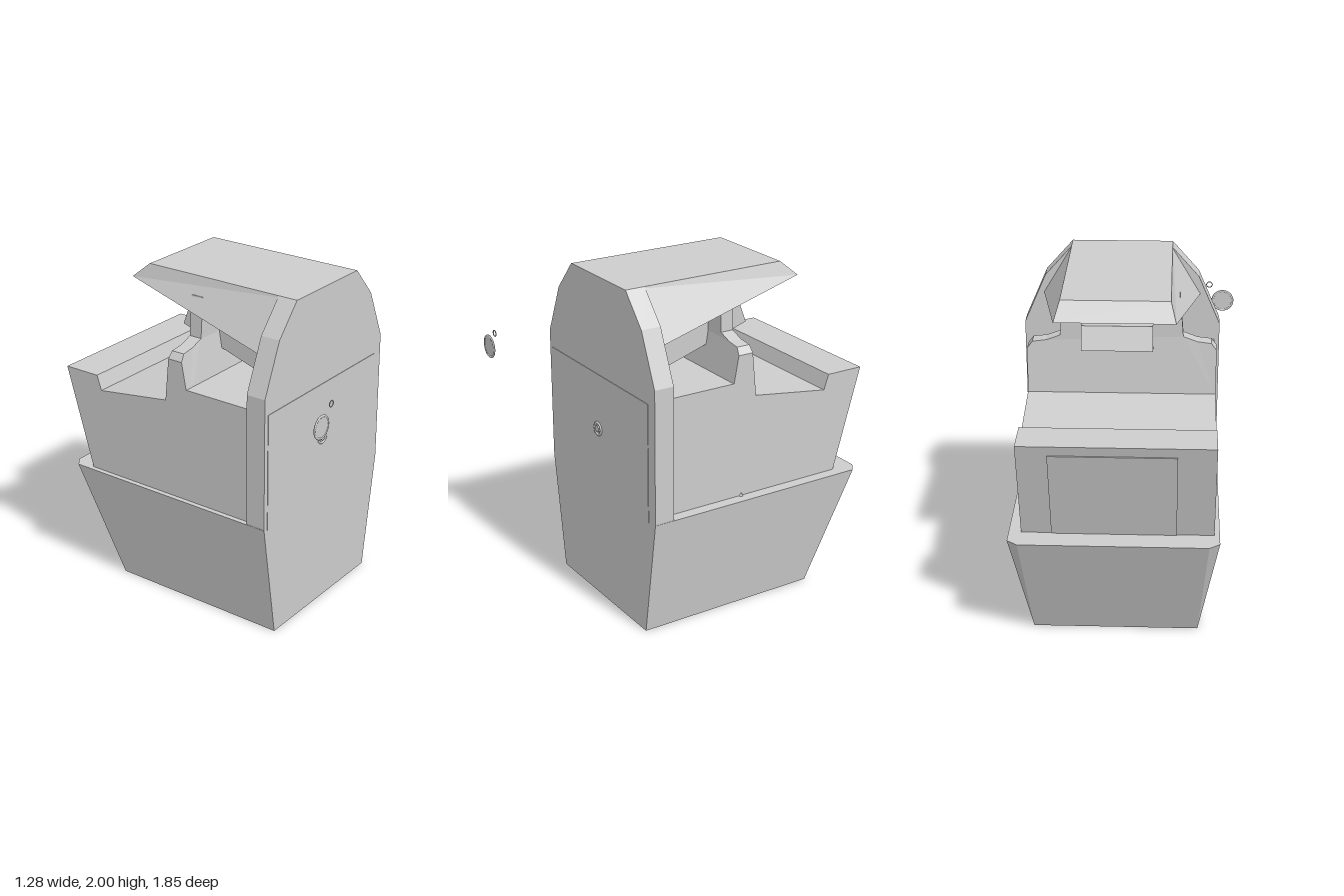
import * as THREE from 'three';
import { ConvexGeometry } from 'three/addons/geometries/ConvexGeometry.js';

const CX = 0.05; // the cabinet's middle plane

export function createModel() {
  const group = new THREE.Group();
  const grey = new THREE.MeshStandardMaterial({ color: 0xcccccc, side: THREE.DoubleSide });
  grey.name = 'light grey';

  const add = (name, geometry, x = 0, y = 0, z = 0) => {
    const mesh = new THREE.Mesh(geometry, grey);
    mesh.name = name;
    mesh.position.set(x, y, z);
    group.add(mesh);
    return mesh;
  };
  const outline = (pts) => new THREE.Shape(pts.map((p) => new THREE.Vector2(...p)));
  const extrude = (pts, depth) =>
    new THREE.ExtrudeGeometry(outline(pts), { depth, bevelEnabled: false });
  // Side profile given as [z, y], swept from x0 to x1
  const sweepX = (pts, x0, x1) => extrude(pts, x1 - x0).rotateY(-Math.PI / 2).translate(x1, 0, 0);
  // Right half of a front outline as [offset, y], mirrored about the middle plane
  const mirrored = (half) => [
    ...half.map(([d, y]) => [CX + d, y]),
    ...half.slice().reverse().map(([d, y]) => [CX - d, y]),
  ];
  const hull = (pts) => new ConvexGeometry(pts.map((p) => new THREE.Vector3(...p)));

  // Front slab
  add('frontSlab', extrude(mirrored([
    [0.48, 0], [0.59, 0.73], [0.59, 1.52], [0.46, 1.82], [0.3, 2],
  ]), 0.12), 0, 0, 0.42);

  // Lower body, flaring upward, with cut rear corners
  const lower = [];
  for (const s of [-1, 1]) {
    lower.push([CX + s * 0.48, 0, 0.54], [CX + s * 0.48, 0, -0.6],
      [CX + s * 0.59, 0.72, 0.54], [CX + s * 0.59, 0.72, -0.85], [CX + s * 0.53, 0.72, -0.895]);
  }
  add('lowerBody', hull(lower));

  // Upper body with the sunken counter
  add('upperBody', sweepX([
    [0.543, 0.71], [0.543, 1.42], [-0.02, 1.42], [-0.17, 1.32], [-0.66, 1.25],
    [-0.69, 1.34], [-0.925, 1.34], [-0.75, 0.71],
  ], -0.51, 0.57));

  // Rear panel, lying along the sloping back
  add('rearPanel', sweepX([
    [-0.74, 0.72], [-0.905, 1.28], [-0.918, 1.28], [-0.76, 0.72],
  ], -0.3, 0.4));

  // Partition: low ends and a tall middle, thinner towards the top
  const wall = extrude([
    [-0.51, 1.3], [0.57, 1.3], [0.57, 1.58], [0.54, 1.62], [0.46, 1.63], [0.38, 1.66],
    [0.37, 1.9], [-0.3, 1.9], [-0.32, 1.66], [-0.4, 1.63], [-0.48, 1.62], [-0.51, 1.58],
  ], 1);
  const wp = wall.attributes.position;
  for (let i = 0; i < wp.count; i++) {
    const t = Math.min(1, (wp.getY(i) - 1.3) / 0.33);
    const back = -0.175 + 0.035 * t;
    const front = 0.0 - 0.06 * t;
    wp.setZ(i, wp.getZ(i) > 0.5 ? front : back);
  }
  wall.computeVertexNormals();
  add('partition', wall);

  // Hanging display box and its neck
  add('displayBox', sweepX([
    [0.25, 1.46], [0.32, 1.6], [0.22, 1.71], [-0.27, 1.77], [-0.32, 1.64],
  ], -0.15, 0.25));
  add('displayNeck', sweepX([
    [0.43, 1.42], [0.43, 1.67], [0.32, 1.6], [0.25, 1.56], [0.25, 1.42],
  ], -0.2, 0.3));

  // Roof hood: open shell of top, sloping sides and rear lip
  const ring = (s) => [
    [CX + s * 0.3, 2, 0.54], [CX + s * 0.3, 2, -0.48],
    [CX + s * 0.33, 1.91, -0.585], [CX + s * 0.47, 1.71, 0.42],
  ];
  const [r, l] = [ring(-1), ring(1)];
  const quads = [
    [r[0], l[0], l[1], r[1]],
    [r[1], l[1], l[2], r[2]],
    [l[0], l[3], l[2], l[1]],
    [r[0], r[1], r[2], r[3]],
  ];
  const hood = new THREE.BufferGeometry();
  hood.setAttribute('position', new THREE.Float32BufferAttribute(
    quads.flatMap(([a, b, c, d]) => [a, b, c, a, c, d]).flat(), 3));
  hood.computeVertexNormals();
  add('roofHood', hood);

  // Front lock
  add('lockRing', new THREE.TorusGeometry(0.036, 0.008, 8, 24), 0.025, 1.085, 0.544);
  add('lockCore', new THREE.CylinderGeometry(0.02, 0.02, 0.012, 20).rotateX(Math.PI / 2),
    0.025, 1.085, 0.546);

  // Small peg on the side ledge
  add('ledgePeg', new THREE.ConeGeometry(0.015, 0.025, 4), 0.575, 0.73, -0.08);

  // Loose disc with a raised rim, and a small ring beside it
  add('disc', new THREE.CylinderGeometry(0.062, 0.062, 0.006, 32).rotateX(Math.PI / 2),
    -0.57, 1.48, 0.922);
  const rim = new THREE.TorusGeometry(0.063, 0.007, 8, 32).scale(1, 1, 0.8);
  add('discRim', rim, -0.57, 1.48, 0.922);
  add('smallRing', new THREE.TorusGeometry(0.018, 0.003, 6, 20), -0.485, 1.585, 0.925);

  return group;
}
